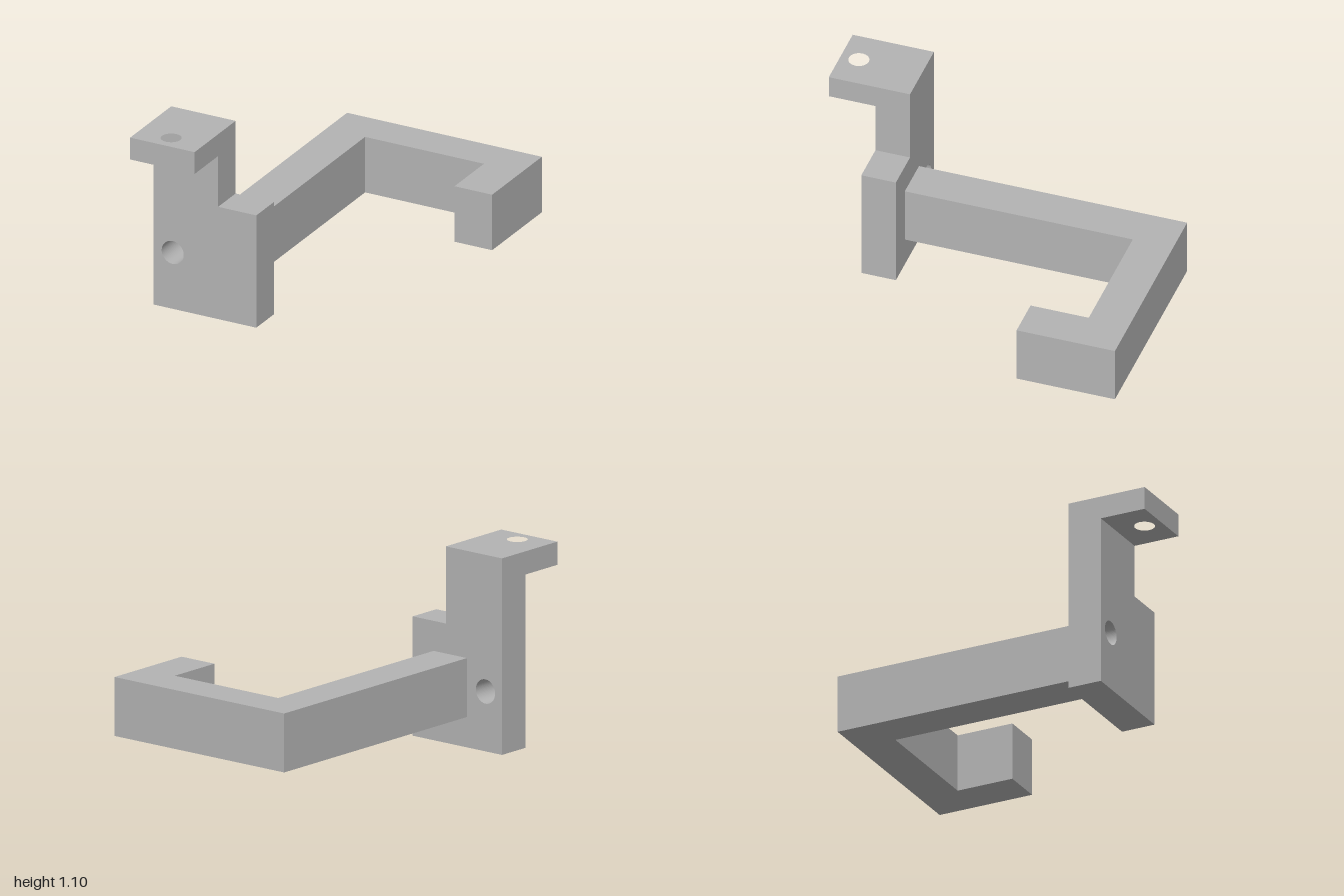
import * as THREE from 'three';

// Shape from a list of corners, with an optional round hole [x, y, radius]
function makeShape(corners, hole) {
  const shape = new THREE.Shape(corners.map(([x, y]) => new THREE.Vector2(x, y)));
  if (hole) {
    const path = new THREE.Path();
    path.absarc(hole[0], hole[1], hole[2], 0, Math.PI * 2, true);
    shape.holes.push(path);
  }
  return shape;
}

function extrude(shape, depth) {
  return new THREE.ExtrudeGeometry(shape, { depth, bevelEnabled: false, curveSegments: 32 });
}

// Extrude a plan drawn as (x, z) upward from y0 to y1
function extrudeUp(corners, y0, y1, hole) {
  const flipped = corners.map(([x, z]) => [x, -z]);
  const flippedHole = hole && [hole[0], -hole[1], hole[2]];
  return extrude(makeShape(flipped, flippedHole), y1 - y0)
    .rotateX(-Math.PI / 2)
    .translate(0, y0, 0);
}

export function createModel() {
  const group = new THREE.Group();
  group.name = 'hookBracket';
  const grey = new THREE.MeshStandardMaterial({ color: 0xb3b3b3 });
  grey.name = 'plainGrey';

  const add = (name, geometry) => {
    const mesh = new THREE.Mesh(geometry, grey);
    mesh.name = name;
    group.add(mesh);
  };

  const left = -0.725, step = -0.328, back = 0.535, front = 0.733;

  // Stepped upright plate with a screw hole
  add('mountingPlate', extrude(makeShape([
    [left, 0], [-0.093, 0], [-0.093, 0.668], [step, 0.668], [step, 1.1], [left, 1.1],
  ], [-0.608, 0.335, 0.068]), front - back).translate(0, 0, back));

  // Top tab reaching forward, with a vertical screw hole
  add('topTab', extrudeUp([
    [left, front], [step, front], [step, 1], [left, 1],
  ], 0.97, 1.1, [-0.528, 0.897, 0.057]));

  // Long arm, rear crossbar and returning tip
  add('hookArm', extrudeUp([
    [-0.477, back], [-0.477, -1], [0.723, -1], [0.723, -0.437],
    [0.491, -0.437], [0.491, -0.77], [-0.241, -0.77], [-0.241, back],
  ], 0.17, 0.5));

  return group;
}
